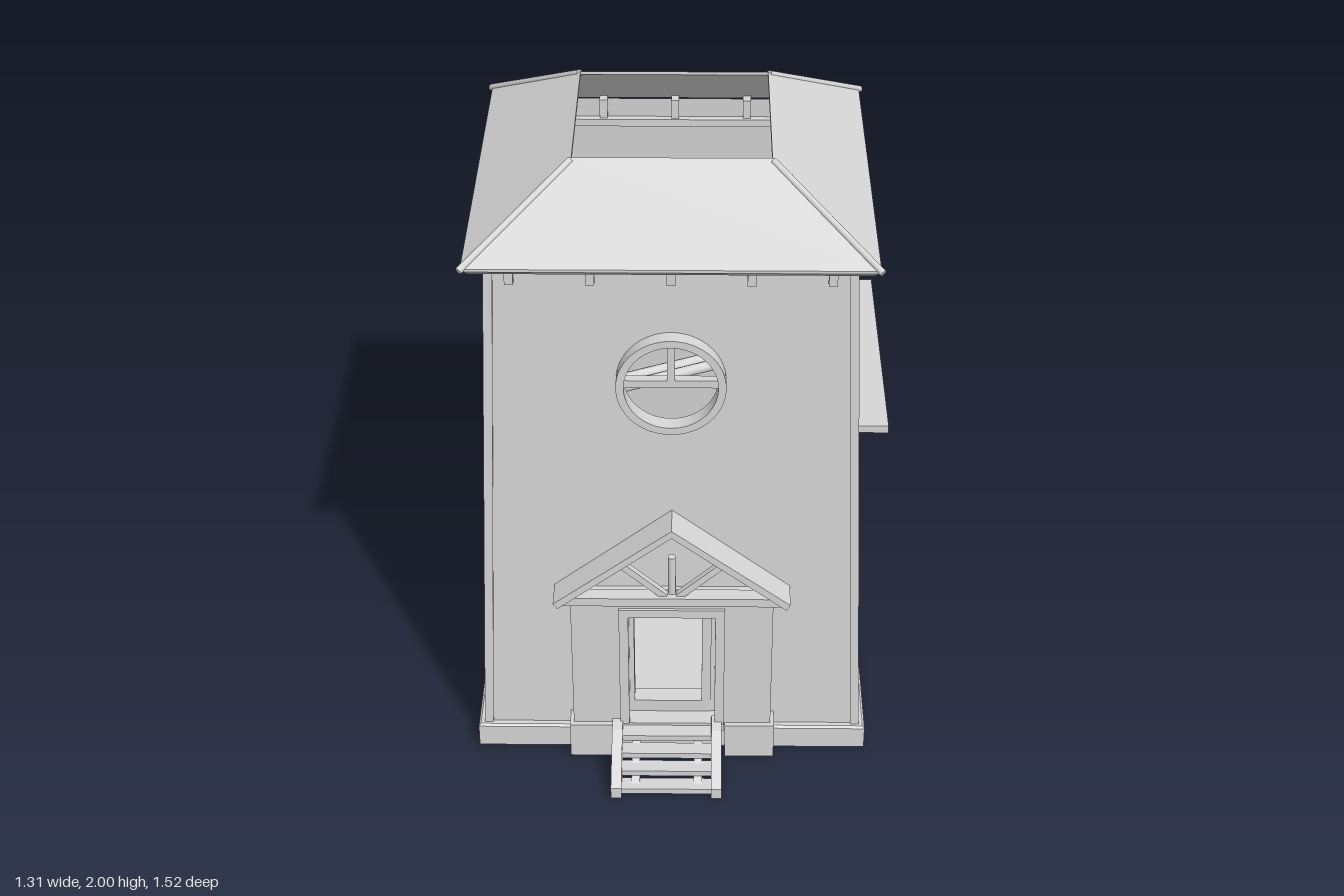
import * as THREE from 'three';

const CX = -0.018, CZ = -0.127;           // tower axis
const WALL_TOP = 1.79;
const half = (y) => 0.61 - 0.039 * y;     // tapering half width of the tower

export function createModel() {
  const model = new THREE.Group();
  model.name = 'ruinedTower';
  const stone = new THREE.MeshStandardMaterial({ color: 0xd6d6d6, side: THREE.DoubleSide });
  stone.name = 'plainGrey';

  const add = (parent, name, geometry, x = 0, y = 0, z = 0) => {
    const mesh = new THREE.Mesh(geometry, stone);
    mesh.name = name;
    mesh.position.set(x, y, z);
    parent.add(mesh);
    return mesh;
  };
  // box given by its limits
  const block = (parent, name, x0, x1, y0, y1, z0, z1) =>
    add(parent, name, new THREE.BoxGeometry(x1 - x0, y1 - y0, z1 - z0), (x0 + x1) / 2, (y0 + y1) / 2, (z0 + z1) / 2);
  // straight bar between two points, square or round
  const bar = (parent, name, a, b, w, round = false) => {
    const from = new THREE.Vector3(...a), to = new THREE.Vector3(...b);
    const length = from.distanceTo(to);
    const geometry = round ? new THREE.CylinderGeometry(w / 2, w / 2, length, 10) : new THREE.BoxGeometry(w, length, w);
    const mesh = add(parent, name, geometry);
    mesh.position.copy(from).add(to).multiplyScalar(0.5);
    mesh.quaternion.setFromUnitVectors(new THREE.Vector3(0, 1, 0), to.sub(from).normalize());
    return mesh;
  };
  const poly = (pts) => pts.map((p) => new THREE.Vector2(p[0], p[1]));
  // four-sided solid ring from a (half width, height) profile
  const squareRing = (profile) => {
    const pts = profile.map(([r, y]) => new THREE.Vector2(r * Math.SQRT2, y));
    const g = new THREE.LatheGeometry([...pts, pts[0]], 4).rotateY(Math.PI / 4).toNonIndexed();
    g.computeVertexNormals();
    return g;
  };

  const tower = new THREE.Group();
  tower.name = 'tower';
  tower.position.set(CX, 0, CZ);
  model.add(tower);

  // plinth and floor
  add(tower, 'plinth', squareRing([[0.634, 0], [0.634, 0.078], [0.627, 0.085], [0.53, 0.085], [0.605, 0]]), 0, 0, -0.004);
  add(tower, 'floor', new THREE.BoxGeometry(1.14, 0.01, 1.14), 0, 0.082, 0);

  // tapering walls: 0 front (doorway), 1 left (broken hole), 2 back (cut corner), 3 right
  const roundHole = new THREE.Path().absarc(0, 1.385, 0.15, 0, Math.PI * 2, true);
  const doorway = new THREE.Path(poly([[-0.12, 0.175], [-0.12, 0.57], [0.098, 0.57], [0.098, 0.175]]));
  const brokenHole = new THREE.Path(poly([
    [0.29, 1.51], [0.2, 1.585], [0.15, 1.597], [0.12, 1.57], [-0.01, 1.58], [-0.13, 1.61],
    [-0.28, 1.638], [-0.325, 1.605], [-0.38, 1.59], [-0.41, 1.52], [-0.45, 1.485], [-0.48, 1.41],
    [-0.495, 1.315], [-0.475, 1.235], [-0.48, 1.18], [-0.425, 1.15], [-0.4, 1.18], [-0.315, 1.19],
    [-0.3, 1.15], [-0.155, 1.14], [-0.14, 1.17], [-0.07, 1.16], [0.03, 1.15], [0.07, 1.19],
    [0.165, 1.155], [0.19, 1.17], [0.265, 1.18], [0.3, 1.19], [0.27, 1.315], [0.3, 1.395],
  ].map(([z, y]) => [CZ - z, y])));
  const holes = [[roundHole, doorway], [brokenHole], [roundHole], []];
  const y0 = 0.08, b = half(y0), t = half(WALL_TOP);
  const plain = [[-b, y0], [b, y0], [t, WALL_TOP], [-t, WALL_TOP]];
  const cut = [...plain, [-half(1.06), 1.06], [-0.09, 1.06]];
  ['frontWall', 'leftWall', 'backWall', 'rightWall'].forEach((name, i) => {
    const shape = new THREE.Shape(poly(i === 2 ? cut : plain));
    shape.holes.push(...holes[i]);
    const g = new THREE.ShapeGeometry(shape, 40);
    const p = g.attributes.position;
    for (let k = 0; k < p.count; k++) p.setZ(k, half(p.getY(k)));
    g.computeVertexNormals();
    add(tower, name, g).rotation.y = i * Math.PI / 2;

    // rafter tails under the eaves
    const side = new THREE.Group();
    side.name = name + 'Details';
    side.rotation.y = i * Math.PI / 2;
    tower.add(side);
    for (let k = -2; k <= 2; k++) {
      const x = k * 0.237;
      block(side, 'rafterTail', x - 0.013, x + 0.013, 1.72, 1.79, 0.525, 0.566);
    }
    // corner post
    bar(side, 'cornerPost', [b - 0.006, y0, b - 0.006], [t - 0.006, WALL_TOP, t - 0.006], 0.028);
    // hip cap on the roof edge
    bar(side, 'hipCap', [0.613, 1.793, 0.613], [0.3, 1.993, 0.3], 0.022, true);

    // round window
    if (i % 2 === 0) {
      const rim = new THREE.Shape().absarc(0, 0, 0.166, 0, Math.PI * 2, false);
      rim.holes.push(new THREE.Path().absarc(0, 0, 0.142, 0, Math.PI * 2, true));
      add(side, 'windowRim', new THREE.ExtrudeGeometry(rim, { depth: 0.055, bevelEnabled: false, curveSegments: 32 }), 0, 1.385, 0.545);
      block(side, 'windowCrossbar', -0.145, 0.145, 1.375, 1.4, 0.55, 0.58);
      block(side, 'windowUpright', -0.012, 0.012, 1.39, 1.53, 0.55, 0.58);
    }
  });

  // plate running round the inside of the wall tops
  add(tower, 'wallPlate', squareRing([[0.515, 1.7], [0.54, 1.7], [0.54, 1.725], [0.515, 1.725]]));

  // truncated hip roof, open at the top
  add(tower, 'roof', squareRing([[0.588, 1.77], [0.609, 1.788], [0.609, 1.797], [0.297, 2.0], [0.296, 1.99]]));

  // beams inside the tower
  for (const s of [-0.025, 0.025]) {
    bar(model, 'innerBeam', [-0.58, 1.1, 0.185 + s], [0.54, 1.1, -0.34 + s], 0.036, true);
    bar(model, 'innerBeam', [-0.56, 1.1, -0.1 + s], [0.54, 1.1, -0.6 + s], 0.036, true);
  }
  bar(model, 'brokenBeam', [-0.56, 1.1, -0.472], [0, 1.1, -0.388], 0.036, true);

  // ledge below the broken hole, on curved brackets
  block(model, 'ledge', 0.545, 0.655, 1.118, 1.143, -0.6, 0.305);
  const bracket = new THREE.Shape();
  bracket.moveTo(0.53, 1.12);
  bracket.lineTo(0.535, 1.04);
  bracket.lineTo(0.575, 1.045);
  bracket.quadraticCurveTo(0.585, 1.08, 0.615, 1.085);
  bracket.lineTo(0.63, 1.12);
  for (const z of [0.155, 0, -0.25, -0.45])
    add(model, 'ledgeBracket', new THREE.ExtrudeGeometry(bracket, { depth: 0.038, bevelEnabled: false }), 0, 0, z - 0.019);

  // porch, built about its own centre line
  const porch = new THREE.Group();
  porch.name = 'porch';
  porch.position.x = -0.016;
  model.add(porch);
  const front = new THREE.Shape(poly([
    [-0.32, 0.1], [-0.15, 0.1], [-0.15, 0.585], [0.15, 0.585], [0.15, 0.1], [0.32, 0.1], [0.32, 0.63], [-0.32, 0.63],
  ]));
  add(porch, 'porchWall', new THREE.ExtrudeGeometry(front, { depth: 0.095, bevelEnabled: false }), 0, 0, 0.44);
  block(porch, 'porchFloor', -0.17, 0.17, 0.1, 0.13, 0.44, 0.54);
  block(porch, 'doorLintel', -0.168, 0.168, 0.57, 0.6, 0.48, 0.545);
  // frame lining the open doorway
  const lining = new THREE.Shape(poly([[-0.15, 0.13], [0.126, 0.13], [0.126, 0.59], [-0.15, 0.59]]));
  lining.holes.push(new THREE.Path(poly([[-0.122, 0.175], [-0.122, 0.57], [0.096, 0.57], [0.096, 0.175]])));
  add(porch, 'doorFrame', new THREE.ExtrudeGeometry(lining, { depth: 0.06, bevelEnabled: false }), 0, 0, 0.42);

  for (const s of [-1, 1]) {
    const mid = (name, x, w, ya, yb, za, zb) => block(porch, name, s * x - w / 2, s * x + w / 2, ya, yb, za, zb);
    mid('porchFooting', 0.252, 0.16, 0, 0.13, 0.42, 0.552);
    mid('doorJamb', 0.153, 0.03, 0.13, 0.6, 0.48, 0.545);

    // sloping roof board
    const slope = new THREE.Shape(poly([[0, 0.92], [s * 0.373, 0.635], [s * 0.36, 0.615], [0, 0.893]]));
    add(porch, 'porchRoof', new THREE.ExtrudeGeometry(slope, { depth: 0.145, bevelEnabled: false }), 0, 0, 0.415);
    // gable strut
    bar(porch, 'gableStrut', [s * 0.165, 0.775, 0.525], [s * 0.02, 0.645, 0.525], 0.022);

    // sloping step side, with a stringer under the treads
    const cheek = new THREE.Shape(poly([[0.52, 0], [0.755, 0], [0.755, 0.04], [0.58, 0.135], [0.52, 0.145]]));
    const g = new THREE.ExtrudeGeometry(cheek, { depth: 0.034, bevelEnabled: false }).rotateY(-Math.PI / 2);
    add(porch, 'stepSide', g, s * 0.161 + 0.001, 0, 0);
    bar(porch, 'stepStringer', [s * 0.1 - 0.015, 0.015, 0.72], [s * 0.1 - 0.015, 0.1, 0.55], 0.026);
  }
  block(porch, 'gableTie', -0.35, 0.35, 0.62, 0.65, 0.5, 0.55);
  bar(porch, 'kingPost', [0, 0.64, 0.515], [0, 0.79, 0.515], 0.026, true);

  // steps
  for (let i = 0; i < 4; i++) {
    const y = 0.03 + i * 0.031, z = 0.745 - i * 0.05;
    block(porch, 'step', -0.165, 0.135, y - 0.02, y, z - 0.052, z);
  }
  return model;
}
